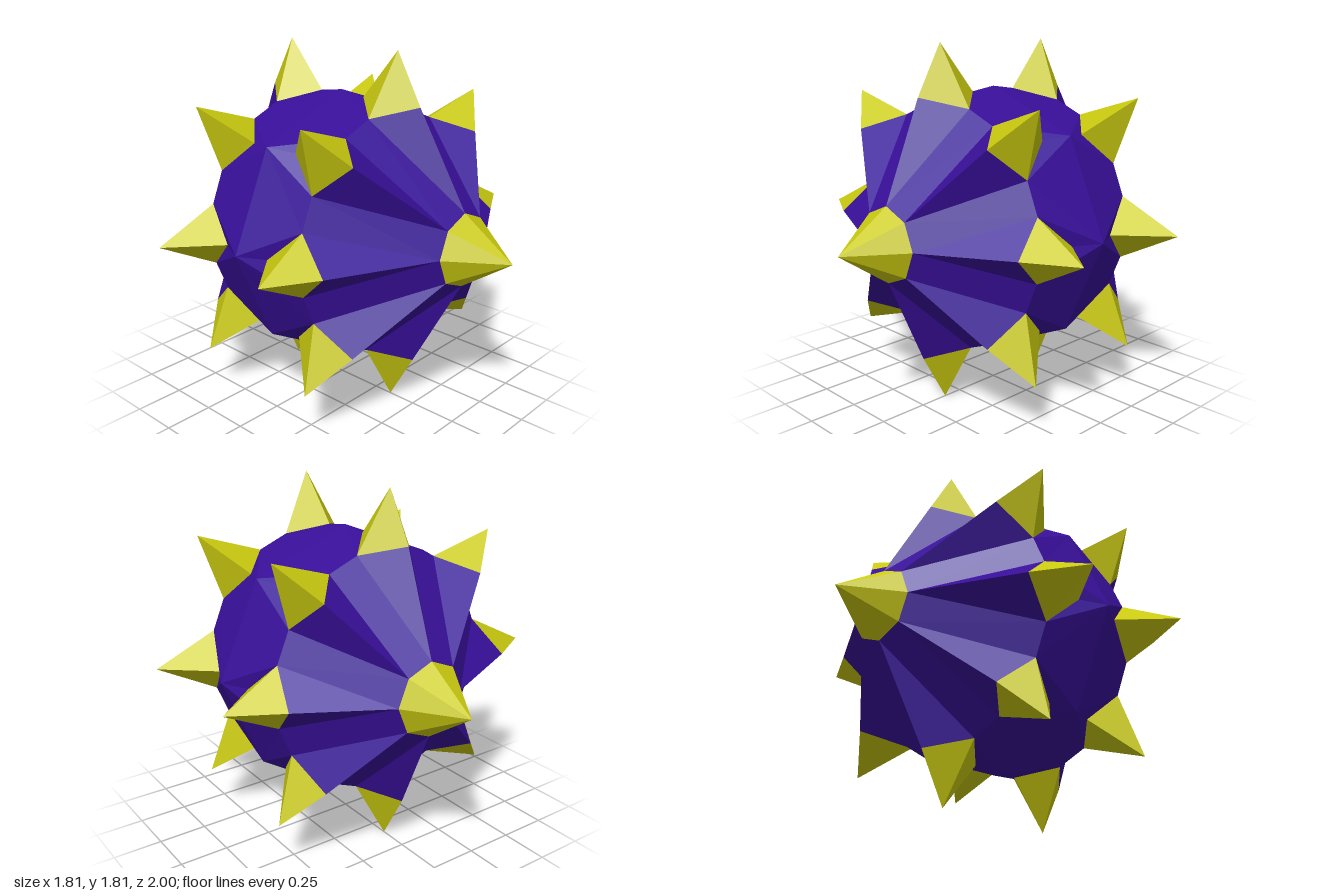
import * as THREE from 'three';

const CY = 0.91; // height of the body centre
const SIDES = 8;
const OFFSET = 0.05; // end spikes sit slightly off axis

const v = (x, y, z) => new THREE.Vector3(x, y, z);

// point near ring position k: radial distance, sideways shift, depth
function ringPoint(k, radial, side, z) {
  const a = (k * Math.PI * 2) / SIDES;
  return v(radial * Math.cos(a) - side * Math.sin(a), radial * Math.sin(a) + side * Math.cos(a), z);
}

// mesh from triangles, each turned to face away from the given inner point
function facetMesh(name, tris, inner, material) {
  const pos = [];
  for (const [a, b, c] of tris) {
    const n = b.clone().sub(a).cross(c.clone().sub(a));
    const mid = a.clone().add(b).add(c).divideScalar(3).sub(inner);
    for (const p of n.dot(mid) < 0 ? [a, c, b] : [a, b, c]) pos.push(p.x, p.y, p.z);
  }
  const geo = new THREE.BufferGeometry();
  geo.setAttribute('position', new THREE.Float32BufferAttribute(pos, 3));
  geo.computeVertexNormals();
  const mesh = new THREE.Mesh(geo, material);
  mesh.name = name;
  return mesh;
}

function spike(name, base, tip, material) {
  const inner = base.reduce((s, p) => s.add(p), v(0, 0, 0)).divideScalar(base.length).lerp(tip, 0.2);
  const tris = base.map((p, i) => [p, base[(i + 1) % base.length], tip]);
  return facetMesh(name, tris, inner, material);
}

export function createModel() {
  const purple = new THREE.MeshStandardMaterial({ color: 0x380f99, flatShading: true });
  const yellow = new THREE.MeshStandardMaterial({ color: 0xc8c810, flatShading: true });
  const group = new THREE.Group();
  group.name = 'spikedBall';
  const ball = new THREE.Group();
  ball.name = 'ball';
  ball.position.y = CY;
  group.add(ball);

  const bodyTris = [];
  for (const s of [1, -1]) {
    const end = s > 0 ? 'front' : 'back';
    // corners of the spike bases, the waist and the end octagon
    const outer = (k) => ringPoint(k, 0.655, 0, 0.49 * s);
    const inner = (k) => ringPoint(k, 0.66, 0, 0.14 * s);
    const sideR = (k) => ringPoint(k, 0.6, 0.157, 0.31 * s);
    const sideL = (k) => ringPoint(k, 0.6, -0.157, 0.31 * s);
    const cap = (k) => ringPoint(k, 0.185, 0, 0.73 * s).add(v(OFFSET, 0, 0));
    const waist = (k) => {
      const p = ringPoint(k, 1, 0, 0);
      return v(p.x * 0.73, p.y * 0.68, 0);
    };

    for (let k = 0; k < SIDES; k++) {
      const n = k + 1;
      // end slope with its folds
      bodyTris.push(
        [cap(k), outer(k), sideR(k)],
        [cap(k), sideR(k), cap(n)],
        [cap(n), sideR(k), sideL(n)],
        [cap(n), sideL(n), outer(n)],
        // band from the spikes to the waist
        [waist(k), sideR(k), inner(k)],
        [waist(n), inner(n), sideL(n)],
        [waist(k), waist(n), sideL(n)],
        [waist(k), sideL(n), sideR(k)],
      );
      ball.add(spike(`${end}RingSpike${n}`, [outer(k), sideR(k), inner(k), sideL(k)],
        ringPoint(k, 0.905, 0, 0.35 * s), yellow));
    }

    // eight-sided spike on the end
    const base = Array.from({ length: SIDES }, (_, k) => cap(k));
    ball.add(spike(`${end}EndSpike`, base, v(OFFSET, 0, s), yellow));
  }
  ball.add(facetMesh('body', bodyTris, v(0, 0, 0), purple));
  return group;
}
